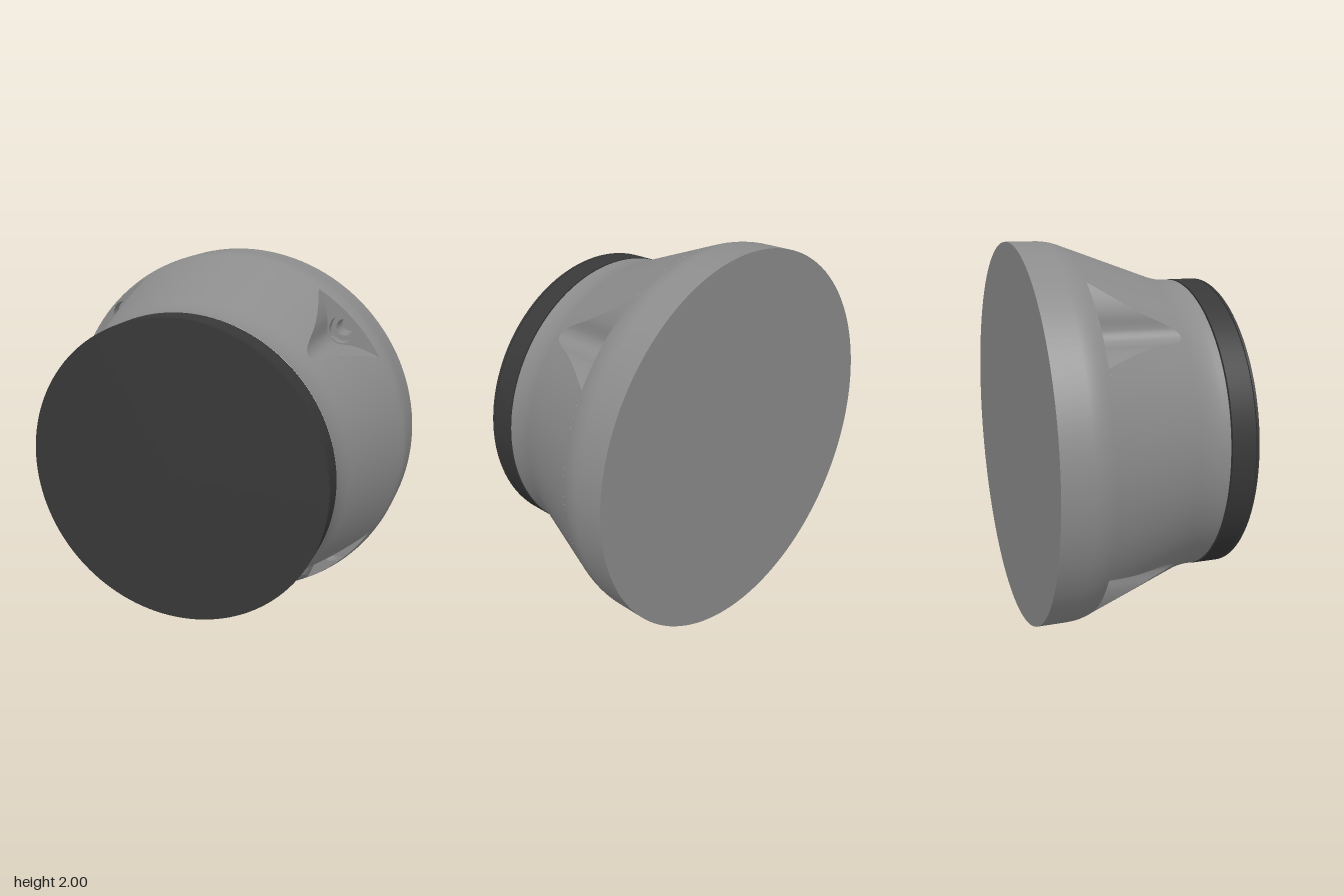
import * as THREE from 'three';
import { mergeGeometries } from 'three/addons/utils/BufferGeometryUtils.js';

const FLOOR_Z = -0.255;   // depth of the screw pockets
const FLOOR_R = 0.9774;   // cone radius at the pocket floor
const SLOPE = 0.362;
const coneZ = r => FLOOR_Z + (FLOOR_R - r) / SLOPE;

// Smooth turned surface about z; profile points are (radius, z), rising z faces outward
function turn(points, segments = 128) {
  return new THREE.LatheGeometry(points, segments).rotateX(Math.PI / 2);
}

// Turned surface with a sharp edge at every profile point
function turnSharp(pairs, segments = 128) {
  const p = pairs.map(([r, z]) => new THREE.Vector2(r, z));
  return mergeGeometries(p.slice(1).map((b, i) => turn([p[i], b], segments)));
}

// Surface through rows of points
function grid(rows) {
  const w = rows[0].length, index = [];
  for (let i = 0; i < rows.length - 1; i++) {
    for (let j = 0; j < w - 1; j++) {
      const a = i * w + j, b = a + 1, c = b + w, d = a + w;
      index.push(a, b, c, a, c, d);
    }
  }
  const g = new THREE.BufferGeometry();
  g.setAttribute('position', new THREE.Float32BufferAttribute(rows.flat(2), 3));
  g.setIndex(index);
  g.computeVertexNormals();
  return g;
}

function fillet(a, corner, b) {
  const v = p => new THREE.Vector2(...p);
  return new THREE.QuadraticBezierCurve(v(a), v(corner), v(b)).getPoints(10);
}

export function createModel() {
  const housingGrey = new THREE.MeshStandardMaterial({ color: 0x8c8c8c });
  const darkGrey = new THREE.MeshStandardMaterial({ color: 0x383838 });

  const model = new THREE.Group();
  const body = new THREE.Group();
  body.name = 'body';
  body.position.y = 1;
  model.add(body);

  const add = (parent, name, geometry, material) => {
    const mesh = new THREE.Mesh(geometry, material);
    mesh.name = name;
    parent.add(mesh);
  };

  // Pocket outline seen along the axis: x is radial, y is tangential
  const half = [[0.8245, 0.0306], [0.8415, 0.0566], [0.88, 0.10], [0.915, 0.16], [0.9475, 0.24]];
  const outline = new THREE.SplineCurve([
    ...half.map(([u, v]) => new THREE.Vector2(u, -v)).reverse(),
    new THREE.Vector2(0.818, 0),
    ...half.map(([u, v]) => new THREE.Vector2(u, v)),
  ]).getPoints(48);
  const mid = 24;
  const apex = outline[mid].length();

  // Rear rim with rounded shoulder, and closed back
  add(body, 'rearRim', turn([
    new THREE.Vector2(1, -0.52),
    ...fillet([1, -0.369], [1, -0.318], [0.9835, -0.272]),
    new THREE.Vector2(FLOOR_R, FLOOR_Z),
  ]), housingGrey);
  add(body, 'backPlate', turnSharp([[0, -0.52], [1, -0.52]]), housingGrey);

  // Neck blending the cone into the front collar
  add(body, 'neck', turn([
    new THREE.Vector2(apex, coneZ(apex)),
    ...fillet([0.811, coneZ(0.811)], [0.787, coneZ(0.787)], [0.785, 0.34]),
    new THREE.Vector2(0.785, 0.372),
  ]), housingGrey);

  // Front cap with narrow grooves
  add(body, 'frontCap', turnSharp([
    [0.772, 0.37], [0.772, 0.38], [0.787, 0.38], [0.787, 0.502], [0.778, 0.502],
    [0.778, 0.508], [0.787, 0.508], [0.787, 0.52], [0, 0.52],
  ]), darkGrey);

  // Cone quarter between two pockets, trimmed along their edges
  const rows = outline.slice(mid).reverse().map(p => {
    const r = p.length(), start = p.angle(), span = Math.PI / 2 - 2 * start;
    return Array.from({ length: 33 }, (_, j) => {
      const t = start + span * j / 32;
      return [r * Math.cos(t), r * Math.sin(t), coneZ(r)];
    });
  });
  const coneQuarter = grid(rows);

  // Pocket wall, floor and stepped screw hole
  const wall = grid([
    outline.map(p => [p.x, p.y, FLOOR_Z]),
    outline.map(p => [p.x, p.y, coneZ(p.length())]),
  ]);
  const floorShape = new THREE.Shape(outline);
  const end = outline[outline.length - 1].angle();
  floorShape.absarc(0, 0, FLOOR_R, end, -end, true);
  floorShape.holes.push(new THREE.Path().absarc(0.898, 0, 0.072, 0, Math.PI * 2, true));
  const floor = new THREE.ShapeGeometry(floorShape, 24).translate(0, 0, FLOOR_Z);
  const hole = turnSharp([
    [0.072, FLOOR_Z], [0.072, FLOOR_Z - 0.06], [0.045, FLOOR_Z - 0.06],
    [0.045, FLOOR_Z - 0.2], [0, FLOOR_Z - 0.2],
  ], 32).translate(0.898, 0, 0);

  for (let k = 0; k < 4; k++) {
    const quarter = new THREE.Group();
    quarter.name = 'quarter' + (k + 1);
    quarter.rotation.z = Math.PI / 4 + k * Math.PI / 2;
    add(quarter, 'coneQuarter', coneQuarter, housingGrey);
    add(quarter, 'pocketWall', wall, housingGrey);
    add(quarter, 'pocketFloor', floor, housingGrey);
    add(quarter, 'screwHole', hole, housingGrey);
    body.add(quarter);
  }
  return model;
}
